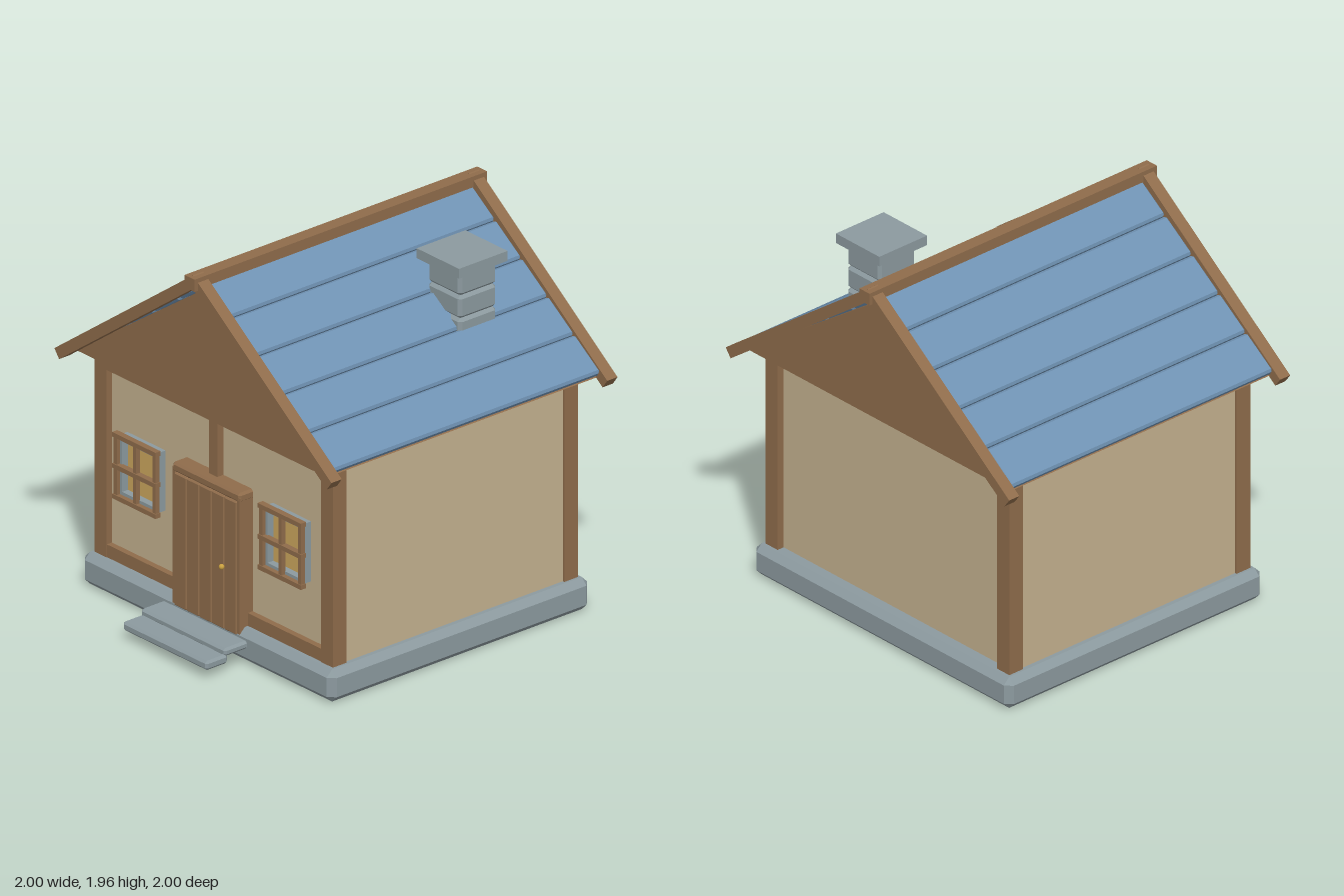
import * as THREE from 'three';
import { ConvexGeometry } from 'three/addons/geometries/ConvexGeometry.js';

const mat = (name, color) => {
  const m = new THREE.MeshStandardMaterial({ color });
  m.name = name;
  return m;
};

export function createModel() {
  const wood = mat('wood', 0x8f6c4b);
  const plaster = mat('plaster', 0xc4b18f);
  const stone = mat('stone', 0x8c9a9f);
  const roofBlue = mat('roofBlue', 0x6f92b3);
  const amber = mat('amberGlass', 0xcca65e);
  const brass = mat('brass', 0xc9a040);

  const model = new THREE.Group();
  model.name = 'cottage';

  const add = (name, geo, material, parent = model) => {
    const m = new THREE.Mesh(geo, material);
    m.name = name;
    parent.add(m);
    return m;
  };
  // Box given by its extents on each axis
  const box = (name, material, [x0, x1], [y0, y1], [z0, z1], parent) => {
    const m = add(name, new THREE.BoxGeometry(x1 - x0, y1 - y0, z1 - z0), material, parent);
    m.position.set((x0 + x1) / 2, (y0 + y1) / 2, (z0 + z1) / 2);
    return m;
  };
  // Box with every edge and corner cut at an angle
  const chamferGeo = (w, h, d, c) => {
    const pts = [];
    for (const sx of [-1, 1]) for (const sy of [-1, 1]) for (const sz of [-1, 1]) {
      for (let k = 0; k < 3; k++) {
        pts.push(new THREE.Vector3(
          sx * (w / 2 - (k === 0 ? 0 : c)),
          sy * (h / 2 - (k === 1 ? 0 : c)),
          sz * (d / 2 - (k === 2 ? 0 : c))));
      }
    }
    return new ConvexGeometry(pts);
  };
  const chamferBox = (name, material, [x0, x1], [y0, y1], [z0, z1], c, parent) => {
    const m = add(name, chamferGeo(x1 - x0, y1 - y0, z1 - z0, c), material, parent);
    m.position.set((x0 + x1) / 2, (y0 + y1) / 2, (z0 + z1) / 2);
    return m;
  };

  // Stone base and steps
  chamferBox('foundation', stone, [-0.907, 0.907], [0, 0.168], [-0.9, 0.74], 0.034);
  chamferBox('upperStep', stone, [-0.305, 0.305], [0.085, 0.127], [0.735, 0.885], 0.012);
  chamferBox('lowerStep', stone, [-0.305, 0.305], [0.047, 0.095], [0.863, 1.0], 0.012);

  // Walls and timber frame
  box('walls', plaster, [-0.85, 0.85], [0.15, 1.225], [-0.815, 0.655]);
  for (const x of [-0.8175, 0.8175]) for (const z of [-0.81, 0.647]) {
    box('cornerPost', wood, [x - 0.0435, x + 0.0435], [0.16, 1.225], [z - 0.0435, z + 0.0435]);
  }
  box('topBeam', wood, [-0.78, 0.78], [1.155, 1.212], [0.64, 0.697]);
  box('sillBeam', wood, [-0.78, 0.78], [0.16, 0.235], [0.64, 0.687]);
  box('middlePost', wood, [-0.03, 0.03], [0.86, 1.222], [0.64, 0.693]);

  // Gable block under the roof
  const gable = new THREE.Shape([
    new THREE.Vector2(-0.93, 1.22), new THREE.Vector2(0.93, 1.22), new THREE.Vector2(0, 1.865)]);
  const gableGeo = new THREE.ExtrudeGeometry(gable, { depth: 1.66, bevelEnabled: false });
  add('gable', gableGeo, wood).position.z = -0.91;

  // Roof planks: five per side, with open joints
  const slope = Math.atan(0.7);
  const pitch = 0.19;
  const plankGeo = chamferGeo(pitch / Math.cos(slope) - 0.005, 0.045, 1.68, 0.012);
  // Barge boards run slightly steeper than the planks
  const bargeSlope = Math.atan(0.735);
  const bargeGeo = new THREE.BoxGeometry(1.241, 0.057, 0.065);
  for (const s of [-1, 1]) {
    for (let i = 0; i < 5; i++) {
      const x = 0.005 + pitch * (i + 0.5);
      const plank = add('roofPlank', plankGeo, roofBlue);
      plank.position.set(
        s * (x - 0.0225 * Math.sin(slope)),
        1.925 - 0.7 * x - 0.0225 * Math.cos(slope), -0.08);
      plank.rotation.z = -s * slope;
    }
    for (const z of [0.788, -0.948]) {
      const barge = add('bargeBoard', bargeGeo, wood);
      barge.position.set(
        s * (0.5 - 0.0285 * Math.sin(bargeSlope)),
        1.5925 - 0.0285 * Math.cos(bargeSlope), z);
      barge.rotation.z = -s * bargeSlope;
    }
  }
  box('ridgeBeam', wood, [-0.036, 0.036], [1.892, 1.956], [-1.0, 0.842]);

  // Chimney of stacked stones
  for (let i = 0; i < 4; i++) {
    const y = 1.333 + i * 0.12;
    chamferBox('chimneyStone', stone, [0.352, 0.588], [y, y + 0.12], [-0.583, -0.347], 0.016);
  }
  box('chimneyCap', stone, [0.317, 0.623], [1.813, 1.865], [-0.617, -0.311]);

  // Door
  const door = new THREE.Group();
  door.name = 'door';
  model.add(door);
  box('doorBacking', wood, [-0.225, 0.225], [0.13, 0.84], [0.64, 0.73], door);
  for (let i = 0; i < 5; i++) {
    const x = -0.225 + i * 0.09;
    chamferBox('doorPlank', wood, [x + 0.001, x + 0.089], [0.13, 0.825], [0.7, 0.745], 0.005, door);
  }
  for (const s of [-1, 1]) {
    const x = s * 0.233;
    box('doorJamb', wood, [x - 0.01, x + 0.01], [0.13, 0.85], [0.64, 0.738], door);
  }
  chamferBox('doorLintel', wood, [-0.245, 0.245], [0.823, 0.874], [0.64, 0.74], 0.012, door);
  const knob = add('doorKnob', new THREE.SphereGeometry(0.014, 12, 8), brass, door);
  knob.position.set(0.133, 0.46, 0.756);

  // Windows: stone surround, amber glass, wooden bars in front
  for (const s of [-1, 1]) {
    const win = new THREE.Group();
    win.name = 'window';
    win.position.set(s * 0.525, 0.697, 0);
    model.add(win);
    const surround = new THREE.Shape([
      new THREE.Vector2(-0.138, -0.157), new THREE.Vector2(0.138, -0.157),
      new THREE.Vector2(0.138, 0.157), new THREE.Vector2(-0.138, 0.157)]);
    surround.holes.push(new THREE.Path([
      new THREE.Vector2(-0.113, -0.132), new THREE.Vector2(-0.113, 0.132),
      new THREE.Vector2(0.113, 0.132), new THREE.Vector2(0.113, -0.132)]));
    const surroundGeo = new THREE.ExtrudeGeometry(surround, { depth: 0.07, bevelEnabled: false });
    add('windowSurround', surroundGeo, stone, win).position.z = 0.64;
    box('windowGlass', amber, [-0.118, 0.118], [-0.137, 0.137], [0.665, 0.673], win);
    for (const x of [-0.14, 0, 0.14]) {
      box('windowUpright', wood, [x - 0.012, x + 0.012], [-0.165, 0.165], [0.705, 0.73], win);
    }
    for (const y of [-0.16, 0, 0.163]) {
      box('windowRail', wood, [-0.156, 0.156], [y - 0.012, y + 0.012], [0.703, 0.735], win);
    }
  }
  return model;
}
